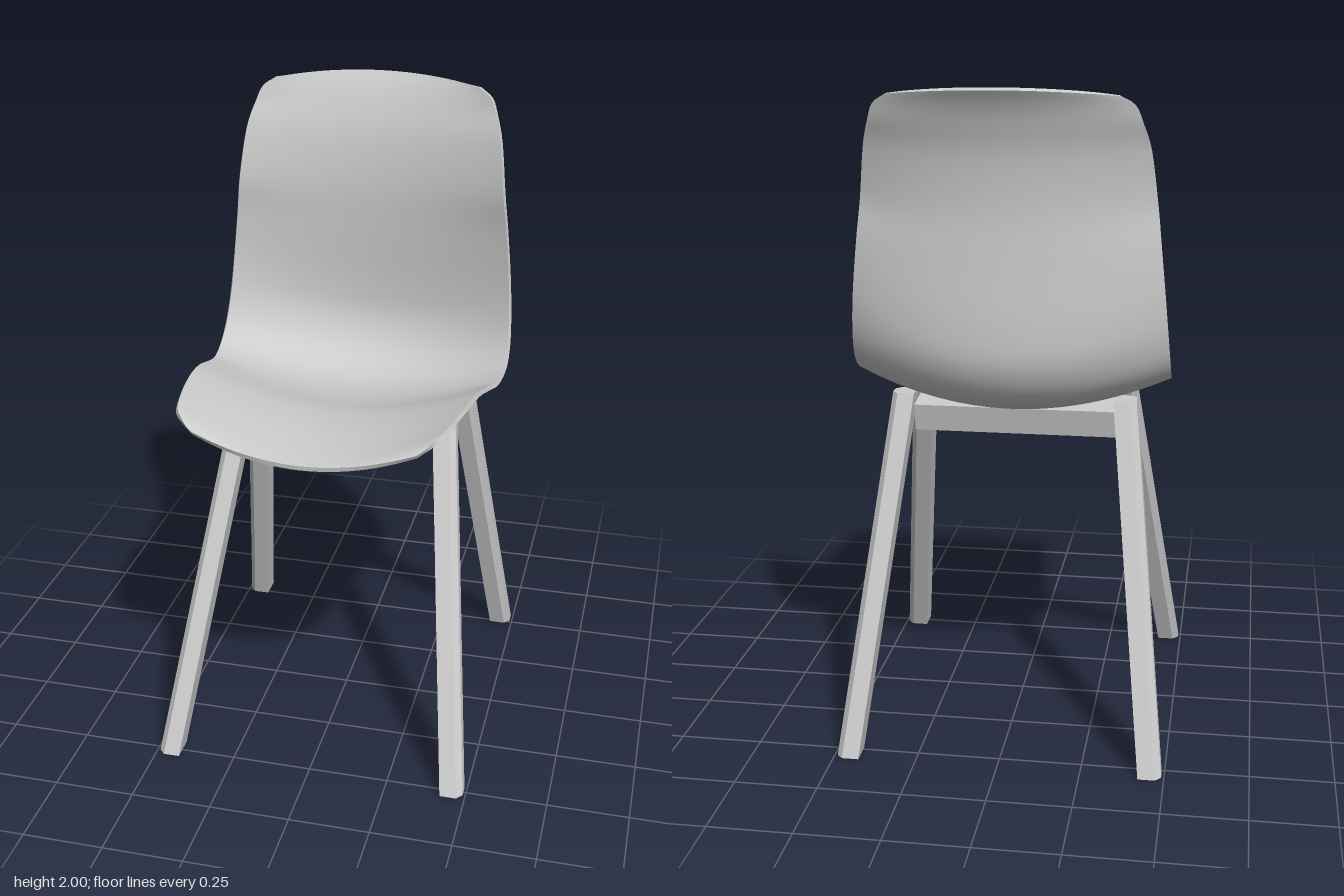
import * as THREE from 'three';
import { toCreasedNormals } from 'three/addons/utils/BufferGeometryUtils.js';

const material = new THREE.MeshStandardMaterial({ color: 0xcccccc });

// Shell stations from front lip to top edge: centre z, y, then side edge z, y, half width
const STATIONS = [
  [0.565, 1.09, 0.53, 1.15, 0.33],
  [0.54, 1.093, 0.5, 1.183, 0.38],
  [0.47, 1.1, 0.45, 1.195, 0.402],
  [0.33, 1.105, 0.3, 1.197, 0.428],
  [0.17, 1.09, 0.15, 1.183, 0.443],
  [0.02, 1.05, 0, 1.14, 0.452],
  [-0.12, 1.025, -0.1, 1.118, 0.466],
  [-0.24, 1.03, -0.2, 1.135, 0.476],
  [-0.34, 1.08, -0.265, 1.19, 0.476],
  [-0.4, 1.18, -0.303, 1.28, 0.47],
  [-0.411, 1.3, -0.322, 1.4, 0.46],
  [-0.402, 1.5, -0.325, 1.55, 0.445],
  [-0.398, 1.65, -0.318, 1.67, 0.432],
  [-0.412, 1.8, -0.345, 1.82, 0.413],
  [-0.44, 1.9, -0.378, 1.9, 0.39],
  [-0.463, 1.955, -0.395, 1.948, 0.37],
  [-0.485, 1.992, -0.415, 1.975, 0.33],
];

function shellGeometry(rows = 64, cols = 24, thickness = 0.014) {
  const centre = new THREE.CatmullRomCurve3(STATIONS.map(([z, y]) => new THREE.Vector3(0, y, z)));
  const edge = new THREE.CatmullRomCurve3(STATIONS.map(([, , z, y, w]) => new THREE.Vector3(w, y, z)));
  for (const c of [centre, edge]) c.curveType = 'catmullrom';

  // Each cross-section is a parabola from the centre line to the raised edges
  const surface = (t, u) => {
    const c = centre.getPoint(t), e = edge.getPoint(t);
    const p = c.clone().lerp(e, u * u);
    p.x = u * e.x;
    return p;
  };
  const outer = [], inner = [];
  const h = 0.004;
  for (let i = 0; i <= rows; i++) {
    outer.push([]);
    inner.push([]);
    for (let j = 0; j <= cols; j++) {
      const t = i / rows, u = (2 * j) / cols - 1;
      const p = surface(t, u);
      const du = surface(t, u + h).sub(surface(t, u - h));
      const dt = surface(Math.min(1, t + h), u).sub(surface(Math.max(0, t - h), u));
      const n = du.cross(dt).normalize();
      outer[i].push(p);
      inner[i].push(p.clone().addScaledVector(n, thickness));
    }
  }

  const positions = [];
  const quad = (a, b, c, d) => {
    for (const p of [a, b, c, a, c, d]) positions.push(p.x, p.y, p.z);
  };
  for (let i = 0; i < rows; i++) {
    for (let j = 0; j < cols; j++) {
      quad(inner[i][j], inner[i][j + 1], inner[i + 1][j + 1], inner[i + 1][j]);
      quad(outer[i][j], outer[i + 1][j], outer[i + 1][j + 1], outer[i][j + 1]);
    }
  }
  // Rim strip around the whole outline
  const rim = [];
  for (let j = 0; j < cols; j++) rim.push([0, j]);
  for (let i = 0; i < rows; i++) rim.push([i, cols]);
  for (let j = cols; j > 0; j--) rim.push([rows, j]);
  for (let i = rows; i > 0; i--) rim.push([i, 0]);
  rim.forEach(([i, j], k) => {
    const [m, n] = rim[(k + 1) % rim.length];
    quad(outer[i][j], outer[m][n], inner[m][n], inner[i][j]);
  });

  const geometry = new THREE.BufferGeometry();
  geometry.setAttribute('position', new THREE.Float32BufferAttribute(positions, 3));
  return toCreasedNormals(geometry, 0.7);
}

function polygon(points) {
  return new THREE.Shape(points.map(([x, y]) => new THREE.Vector2(x, y)));
}

// Leg: horizontal section with chamfered outer side, sheared from foot to top
function legGeometry(side, foot, top, height) {
  const section = [[-0.033, -0.038], [0.018, -0.038], [0.036, -0.018],
    [0.036, 0.018], [0.018, 0.038], [-0.033, 0.038]];
  const shape = polygon(section.map(([x, z]) => [x * side, z]));
  const geometry = new THREE.ExtrudeGeometry(shape, { depth: height, bevelEnabled: false });
  geometry.rotateX(-Math.PI / 2);
  const p = geometry.attributes.position;
  for (let i = 0; i < p.count; i++) {
    const t = p.getY(i) / height;
    p.setX(i, p.getX(i) + side * THREE.MathUtils.lerp(foot[0], top[0], t));
    p.setZ(i, p.getZ(i) + THREE.MathUtils.lerp(foot[1], top[1], t));
  }
  geometry.computeVertexNormals();
  return geometry;
}

export function createModel() {
  const model = new THREE.Group();
  model.name = 'chair';
  const add = (name, geometry) => {
    const mesh = new THREE.Mesh(geometry, material);
    mesh.name = name;
    model.add(mesh);
    return mesh;
  };

  add('seatShell', shellGeometry());

  for (const [label, side] of [['Left', 1], ['Right', -1]]) {
    add('front' + label + 'Leg', legGeometry(side, [0.456, 0.497], [0.32, 0.03], 1.07));
    add('rear' + label + 'Leg', legGeometry(side, [0.456, -0.527], [0.338, -0.182], 1.06));
  }

  // Tilted support block joining the leg tops
  const profile = polygon([[-0.03, 0.96], [0.18, 0.935], [0.2, 1.02], [-0.02, 1.042]]);
  const block = new THREE.ExtrudeGeometry(profile, { depth: 0.62, bevelEnabled: false });
  block.translate(0, 0, -0.31).rotateY(Math.PI / 2);
  add('seatSupport', block);

  return model;
}
